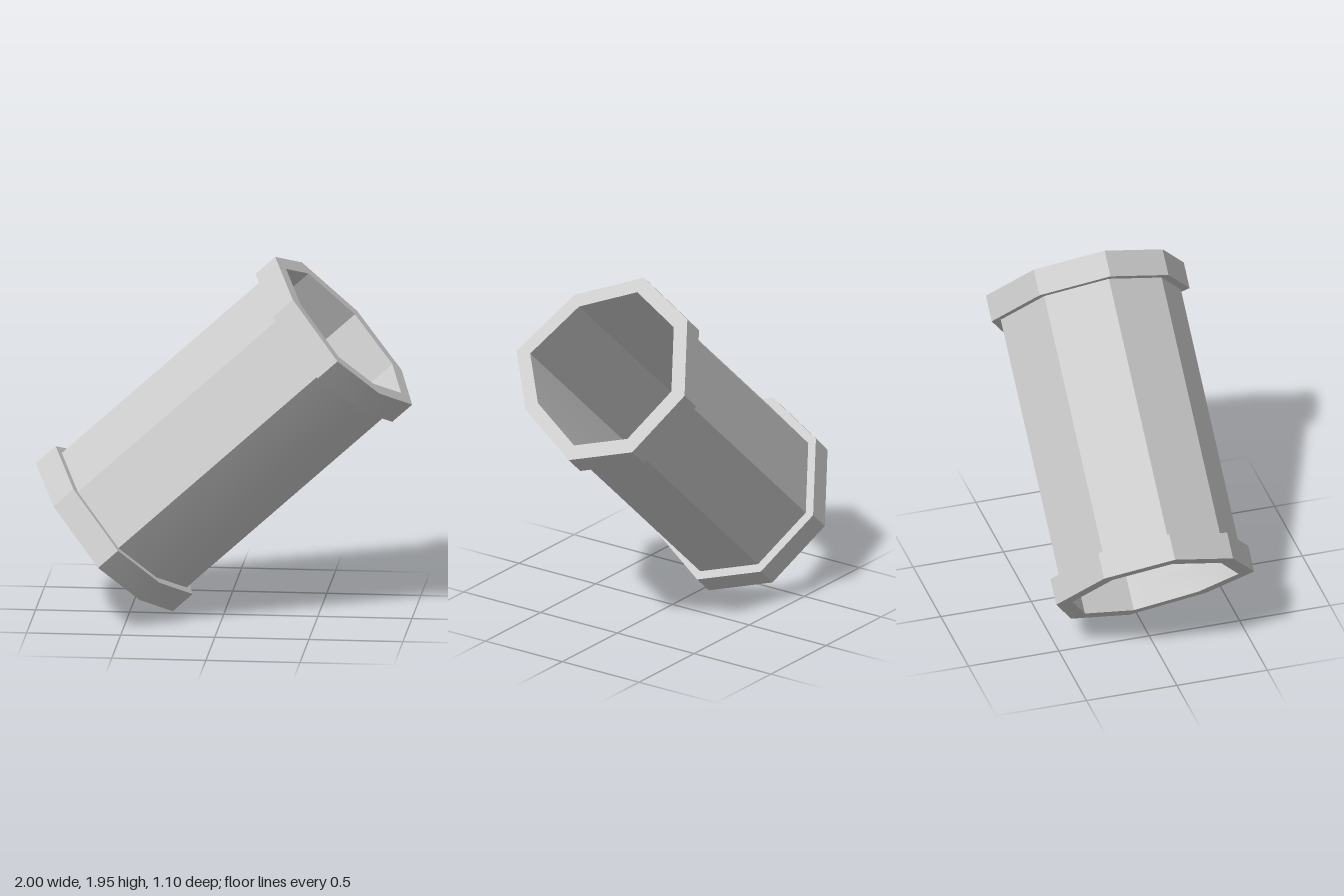
import * as THREE from 'three';
import { toCreasedNormals } from 'three/addons/utils/BufferGeometryUtils.js';

// Slightly uneven eight-sided outline, shared by every section
const OUTLINE = [
  [0.01, 0.54], [-0.35, 0.35], [-0.545, -0.03], [-0.34, -0.33],
  [0.04, -0.537], [0.39, -0.405], [0.55, -0.03], [0.37, 0.38],
];
const LENGTH = 1.72, COLLAR = 0.143, BORE = 0.84, PIPE = 0.91;
const TILT = THREE.MathUtils.degToRad(42.3);

const ring = (scale) => OUTLINE.map(([x, y]) => new THREE.Vector2(x * scale, y * scale));

export function createModel() {
  const model = new THREE.Group();
  const material = new THREE.MeshStandardMaterial({ color: 0xcccccc });

  // Hollow section running from start to end along the pipe axis
  function addSection(name, scale, start, end) {
    const shape = new THREE.Shape(ring(scale));
    shape.holes.push(new THREE.Path(ring(BORE)));
    const geometry = new THREE.ExtrudeGeometry(shape, { depth: end - start, bevelEnabled: false });
    geometry.translate(0, 0, start);
    // Lay the axis along x, then tilt it upward to the model's left
    geometry.rotateY(Math.PI / 2).rotateZ(TILT).translate(0, 0.98, 0);
    const mesh = new THREE.Mesh(toCreasedNormals(geometry, THREE.MathUtils.degToRad(30)), material);
    mesh.name = name;
    model.add(mesh);
  }

  const half = LENGTH / 2;
  addSection('pipe', PIPE, -half + COLLAR, half - COLLAR);
  addSection('lowerCollar', 1, -half, -half + COLLAR);
  addSection('upperCollar', 1, half - COLLAR, half);

  return model;
}
